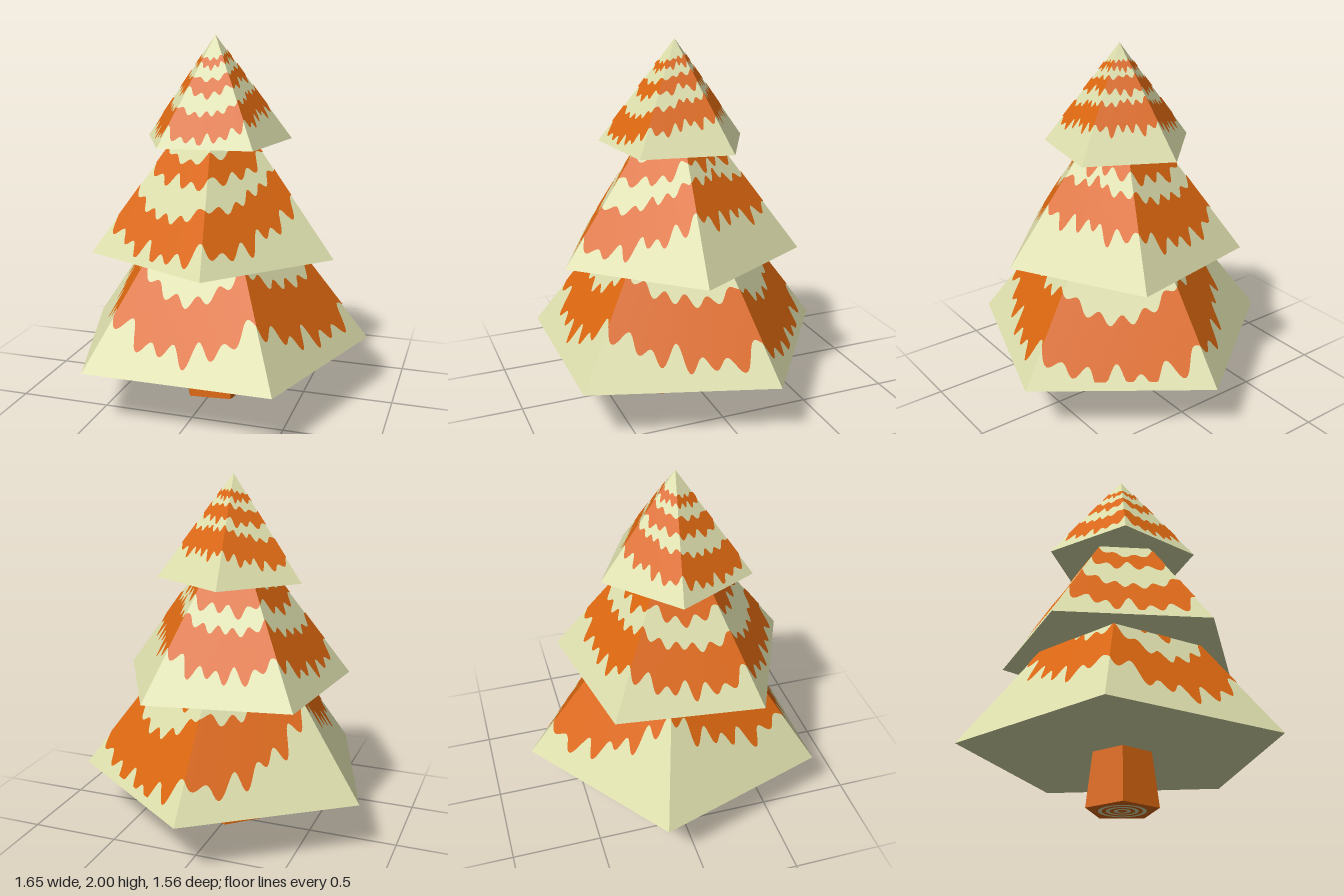
import * as THREE from 'three';

const cream = new THREE.MeshStandardMaterial({ color: 0xdcdeac });
const orange = new THREE.MeshStandardMaterial({ color: 0xdb6710 });
cream.name = 'cream';
orange.name = 'orange';
const AXIS_Z = 0.08;
const rad = THREE.MathUtils.degToRad;

// Five-sided tiers; turn is the angle of the first corner (0 = front, 90 = +x).
// Each ring lists its plan radius every 36 degrees, starting at ringStart.
const TIERS = [
  {
    name: 'lowerTier', y: 0.3, apex: 1.44, radius: 0.865, turn: 36, ringStart: 0,
    outer: [0.62, 0.64, 0.61, 0.73, 0.66, 0.73, 0.56, 0.50, 0.52, 0.65],
    inner: [0.48, 0.46, 0.45, 0.52, 0.51, 0.50, 0.40, 0.34, 0.36, 0.47],
    scales: [1, 0.6],
  },
  {
    name: 'middleTier', y: 0.845, apex: 1.755, radius: 0.685, turn: 11, ringStart: 11,
    outer: [0.59, 0.46, 0.455, 0.39, 0.49, 0.46, 0.51, 0.48, 0.55, 0.51],
    inner: [0.45, 0.34, 0.33, 0.265, 0.36, 0.33, 0.38, 0.36, 0.42, 0.41],
    scales: [1, 0.6],
  },
  {
    name: 'upperTier', y: 1.44, apex: 2, radius: 0.423, turn: 44, ringStart: 8,
    outer: [0.315, 0.33, 0.245, 0.29, 0.24, 0.29, 0.27, 0.34, 0.31, 0.36],
    inner: [0.24, 0.25, 0.18, 0.21, 0.165, 0.20, 0.19, 0.25, 0.23, 0.27],
    scales: [1, 0.58, 0.32],
  },
];

function flat(geometry) {
  const g = geometry.index ? geometry.toNonIndexed() : geometry;
  g.computeVertexNormals();
  return g;
}

function add(parent, name, geometry, material) {
  const mesh = new THREE.Mesh(geometry, material);
  mesh.name = name;
  parent.add(mesh);
  return mesh;
}

// Radius at an angle, blended between the listed values
function sample(list, degrees) {
  const f = (((degrees % 360) + 360) % 360) / 36;
  const i = Math.floor(f);
  return THREE.MathUtils.lerp(list[i % 10], list[(i + 1) % 10], f - i);
}

// Wavy closed band lying just above the sloping faces of a tier
function bandGeometry(tier, scale) {
  const apothem = tier.radius * Math.cos(Math.PI / 5);
  const height = tier.apex - tier.y;
  const size = tier.radius / 0.865;
  const positions = [], indices = [];
  const count = scale === 1 ? 30 : 18;
  for (let d = 0; d <= 360; d++) {
    const a = rad(d);
    // Angle away from the middle of the nearest face
    const off = (((d - tier.turn) % 72) + 72) % 72 - 36;
    const slant = Math.cos(rad(off));
    const drip = 0.026 * Math.sin(count * a) + 0.014 * Math.sin((count - 11) * a + 1);
    const ripple = 0.016 * Math.sin((count - 4) * a + 2);
    const key = d - tier.ringStart;
    const rOut = Math.min(scale * sample(tier.outer, key) + drip * size * Math.sqrt(scale),
      apothem / slant * 0.97);
    const rIn = scale * sample(tier.inner, key) + ripple * size * Math.sqrt(scale);
    for (const r of [rIn, rOut]) {
      const y = tier.apex - height * r * slant / apothem + 0.006;
      positions.push(r * Math.sin(a), Math.min(y, 2), AXIS_Z + r * Math.cos(a));
    }
    if (d < 360) {
      const i = d * 2;
      indices.push(i, i + 1, i + 3, i, i + 3, i + 2);
    }
  }
  const g = new THREE.BufferGeometry();
  g.setAttribute('position', new THREE.Float32BufferAttribute(positions, 3));
  g.setIndex(indices);
  return flat(g);
}

export function createModel() {
  const model = new THREE.Group();
  model.name = 'tree';

  // Tapered five-sided trunk
  const trunk = new THREE.CylinderGeometry(0.16, 0.198, 0.308, 5, 1, false, rad(42));
  add(model, 'trunk', flat(trunk), orange).position.set(0, 0.156, AXIS_Z);

  // Growth rings on the underside of the trunk
  for (const r of [0.025, 0.065, 0.105]) {
    const ring = new THREE.RingGeometry(r, r + 0.02, 32).rotateX(Math.PI / 2);
    add(model, 'growthRing', ring, cream).position.set(0, 0, AXIS_Z);
  }

  // Stacked pyramids with their painted bands
  for (const tier of TIERS) {
    const group = new THREE.Group();
    group.name = tier.name;
    const height = tier.apex - tier.y;
    const cone = new THREE.ConeGeometry(tier.radius, height, 5, 1, false, rad(tier.turn));
    add(group, 'branches', flat(cone), cream).position.set(0, tier.y + height / 2, AXIS_Z);
    for (const scale of tier.scales) add(group, 'wavyBand', bandGeometry(tier, scale), orange);
    model.add(group);
  }
  return model;
}
